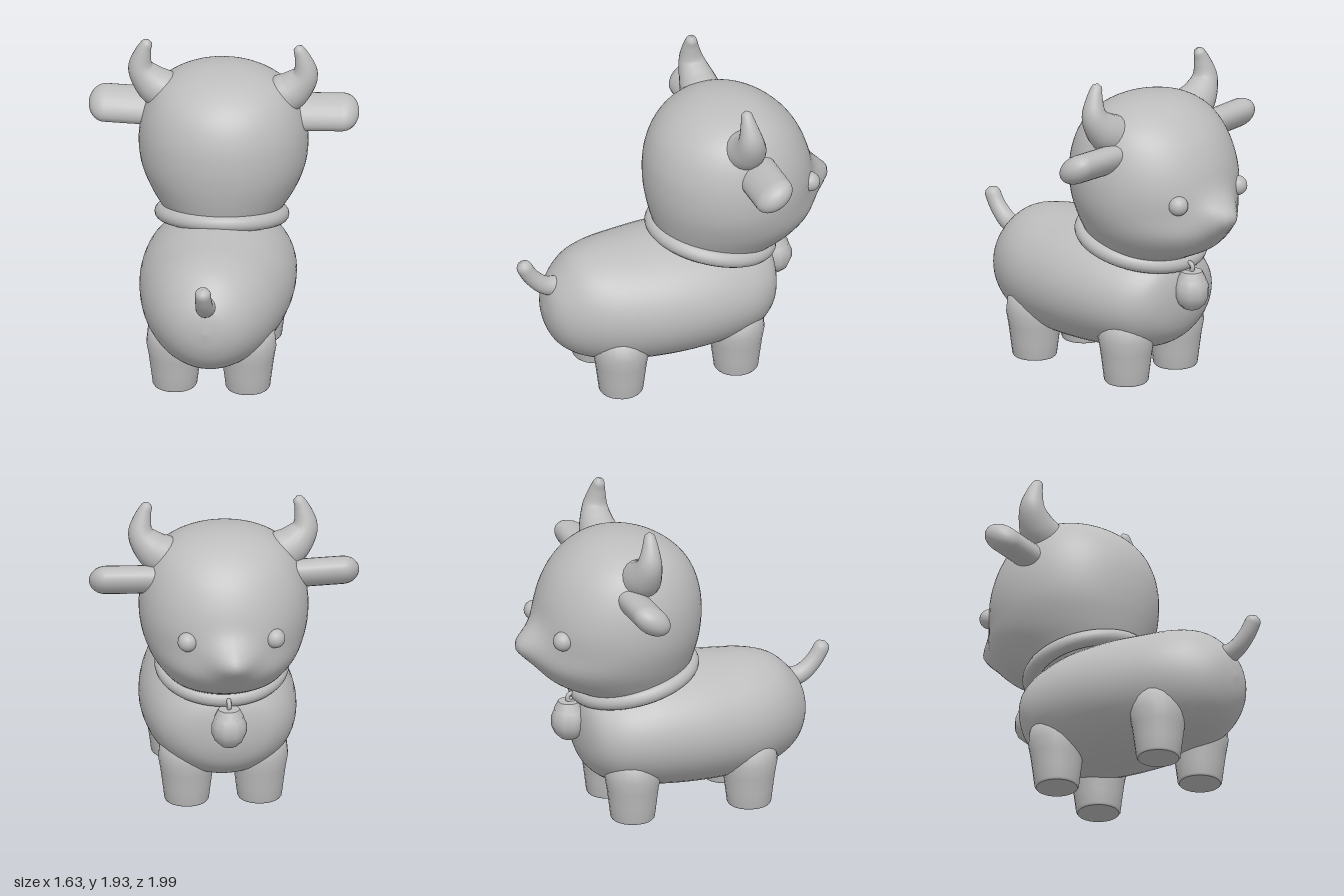
import * as THREE from 'three';

const grey = new THREE.MeshStandardMaterial({ color: 0xbdbdbd });
grey.name = 'plain grey';

// Catmull-Rom sample of a list of number rows, t from 0 to 1
function sampleRows(rows, t) {
  const p = t * (rows.length - 1);
  const i = Math.min(Math.floor(p), rows.length - 2);
  const f = p - i;
  const at = k => rows[Math.max(0, Math.min(rows.length - 1, k))];
  return rows[0].map((_, j) => {
    const [a, b, c, d] = [at(i - 1)[j], at(i)[j], at(i + 1)[j], at(i + 2)[j]];
    return b + 0.5 * f * (c - a + f * (2 * a - 5 * b + 4 * c - d + f * (3 * (b - c) + d - a)));
  });
}

// Closed skin over rings; pointAt(t, angle) returns a Vector3
function skin(pointAt, rings, sides) {
  const pos = [], index = [];
  for (let r = 0; r <= rings; r++) {
    for (let s = 0; s < sides; s++) {
      pos.push(...pointAt(r / rings, (s / sides) * Math.PI * 2).toArray());
      if (r === rings) continue;
      const a = r * sides + s, b = r * sides + ((s + 1) % sides);
      index.push(a, b, a + sides, b, b + sides, a + sides);
    }
  }
  const g = new THREE.BufferGeometry();
  g.setAttribute('position', new THREE.Float32BufferAttribute(pos, 3));
  g.setIndex(index);
  g.computeVertexNormals();
  return g;
}

// Tapered round tube along a path, rounded at the far end
function taper(points, radii, rings = 28, sides = 20) {
  const curve = new THREE.CatmullRomCurve3(points.map(p => new THREE.Vector3(...p)));
  const frames = curve.computeFrenetFrames(rings, false);
  const rows = radii.map(r => [r]);
  const endLength = radii[radii.length - 1] / curve.getLength();
  return skin((t, a) => {
    const i = Math.round(t * rings);
    const into = Math.max(0, (t - 1 + endLength) / endLength);
    const r = sampleRows(rows, t)[0] * Math.sqrt(Math.max(0, 1 - into * into));
    return curve.getPointAt(t)
      .addScaledVector(frames.normals[i], Math.cos(a) * r)
      .addScaledVector(frames.binormals[i], Math.sin(a) * r);
  }, rings, sides);
}

export function createModel() {
  const group = new THREE.Group();
  const add = (name, geometry, x = 0, y = 0, z = 0) => {
    const m = new THREE.Mesh(geometry, grey);
    m.name = name;
    m.position.set(x, y, z);
    group.add(m);
    return m;
  };

  // Body, rows of z, top, bottom, half width
  const bodyRows = [
    [-0.63, 0.54, 0.54, 0], [-0.615, 0.68, 0.41, 0.15], [-0.57, 0.77, 0.30, 0.28],
    [-0.48, 0.82, 0.22, 0.37], [-0.36, 0.86, 0.18, 0.425], [-0.18, 0.90, 0.15, 0.46],
    [0.05, 0.91, 0.137, 0.467], [0.28, 0.90, 0.14, 0.44], [0.48, 0.885, 0.165, 0.39],
    [0.63, 0.84, 0.21, 0.315], [0.74, 0.74, 0.29, 0.22], [0.80, 0.64, 0.40, 0.12],
    [0.82, 0.52, 0.52, 0],
  ];
  add('body', skin((t, a) => {
    const [z, top, bottom, rx] = sampleRows(bodyRows, t);
    return new THREE.Vector3(Math.cos(a) * rx, (top + bottom) / 2 + Math.sin(a) * (top - bottom) / 2, z);
  }, 60, 48));

  // Head, rows of y, front z, back z, half width, with the muzzle pushed out
  const headRows = [
    [0.72, -0.28, -0.28, 0], [0.74, -0.50, -0.02, 0.24], [0.80, -0.64, 0.03, 0.31],
    [0.88, -0.79, 0.07, 0.37], [1.0, -0.88, 0.11, 0.445], [1.14, -0.875, 0.14, 0.495],
    [1.28, -0.87, 0.15, 0.51], [1.42, -0.835, 0.135, 0.495], [1.55, -0.77, 0.085, 0.45],
    [1.65, -0.68, 0.0, 0.38], [1.725, -0.57, -0.12, 0.26], [1.76, -0.46, -0.25, 0.12],
    [1.77, -0.36, -0.36, 0],
  ];
  add('head', skin((t, a) => {
    const [y, front, back, rx] = sampleRows(headRows, t);
    const x = Math.sin(a) * rx;
    let z = (front + back) / 2 + Math.cos(a) * (back - front) / 2;
    if (Math.cos(a) < 0) z -= 0.13 * Math.exp(-((x / 0.14) ** 2) - ((y - 1.12) / 0.105) ** 2);
    return new THREE.Vector3(x, y, z);
  }, 72, 64));

  // Collar sloping down to the chest
  const collar = add('collar', new THREE.TorusGeometry(0.355, 0.05, 16, 48).rotateX(Math.PI / 2), 0, 0.84, -0.255);
  collar.rotation.x = -0.24;

  // Bell with its hanging ring
  add('bell', new THREE.SphereGeometry(0.11, 10, 7).scale(1, 1.12, 1), 0, 0.59, -0.665);
  add('bellCap', new THREE.CylinderGeometry(0.065, 0.09, 0.05, 12), 0, 0.69, -0.665);
  add('bellRing', new THREE.TorusGeometry(0.028, 0.014, 8, 16).rotateY(Math.PI / 2), 0, 0.735, -0.645);

  // Leg profile: flat sole, slightly rounded rim, flaring upward
  const legProfile = [[0, 0], [0.125, 0], [0.125, 0], [0.134, 0.012], [0.145, 0.1], [0.158, 0.2], [0.172, 0.28], [0.16, 0.4], [0, 0.45]]
    .map(p => new THREE.Vector2(...p));

  for (const side of [1, -1]) {
    const label = side > 0 ? 'left' : 'right';

    add(label + 'FrontLeg', new THREE.LatheGeometry(legProfile, 24), side * 0.22, 0, -0.335);
    add(label + 'BackLeg', new THREE.LatheGeometry(legProfile, 24), side * 0.22, 0, 0.405);

    // Horns curve outward, then up and in
    add(label + 'Horn', taper(
      [[0.32, 1.57, -0.335], [0.43, 1.645, -0.335], [0.495, 1.74, -0.325], [0.482, 1.85, -0.315], [0.447, 1.935, -0.31]]
        .map(([x, y, z]) => [side * x, y, z]),
      [0.13, 0.115, 0.085, 0.055, 0.03]));

    // Flattened, tilted ears
    add(label + 'Ear', new THREE.CapsuleGeometry(0.1, 0.28, 10, 24)
      .rotateZ(Math.PI / 2).scale(1, 0.83, 1.27).rotateX(0.6).rotateZ(side * 0.03), side * 0.575, 1.468, -0.387);

    add(label + 'Eye', new THREE.SphereGeometry(0.06, 20, 14), side * 0.265, 1.22, -0.795);
  }

  // Tail kicked upward
  add('tail', taper([[0, 0.67, 0.7], [0, 0.695, 0.81], [0, 0.77, 0.895], [0, 0.885, 0.963]],
    [0.065, 0.056, 0.05, 0.048]));

  return group;
}
